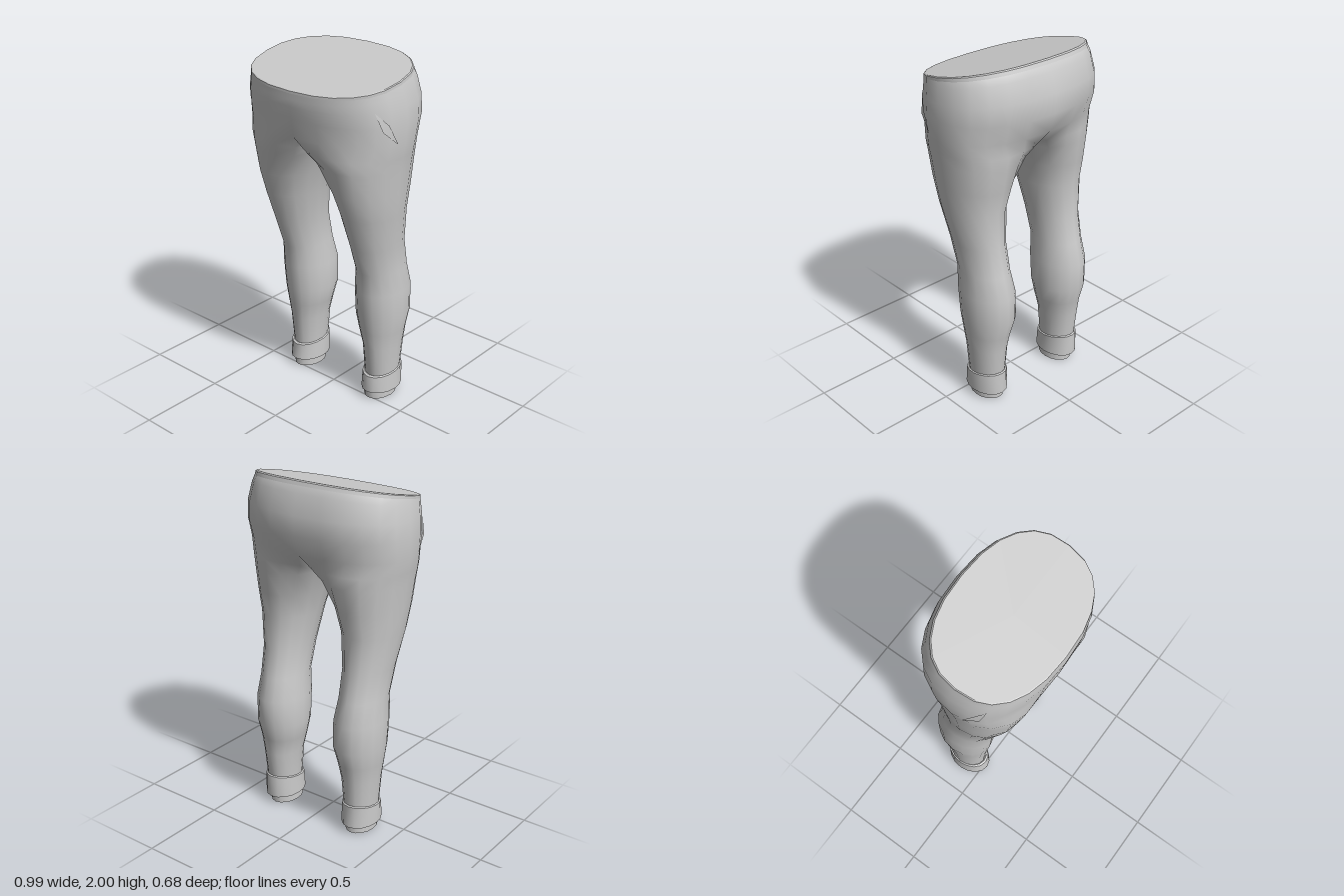
import * as THREE from 'three';
import { mergeVertices, toCreasedNormals } from 'three/addons/utils/BufferGeometryUtils.js';

const SIDES = 16;
const lerp = THREE.MathUtils.lerp;
const power = (v, e) => Math.sign(v) * Math.abs(v) ** e;

// One cross-section of the left half.
// yf/yb: height at front and back, xi/xo: inner and outer x, zf/zb: front and back z,
// m: 0 = half of the hips (flat inner side), 1 = free oval leg
function section([yf, yb, xi, xo, zf, zb, m]) {
  const zc = (zf + zb) / 2, rz = (zf - zb) / 2;
  const cx = (xi + xo) / 2, rx = (xo - xi) / 2;
  return Array.from({ length: SIDES }, (_, i) => {
    let hx = xi, hz;
    if (i <= 12) {
      const a = (i / 12) * Math.PI;
      hx = xi + (xo - xi) * power(Math.sin(a), 0.83);
      hz = zc + rz * power(Math.cos(a), 0.83);
    } else hz = lerp(zb, zf, (i - 12) / 4);
    const b = -Math.PI / 4 + (i / SIDES) * Math.PI * 2;
    const x = lerp(hx, cx + rx * Math.sin(b), m);
    const z = lerp(hz, zc + rz * Math.cos(b), m);
    const y = rz > 0 ? lerp(yf, yb, (zf - z) / (2 * rz)) : yf;
    return new THREE.Vector3(Math.abs(x) < 1e-4 ? 0 : x, y, z);
  });
}

// Skin through sections listed from top to bottom; faces on the middle plane are left out
function loft(rows, mirrored = false) {
  const rings = rows.map(section), pos = [];
  const tri = (a, b, c) => {
    if (a.x === 0 && b.x === 0 && c.x === 0) return;
    if (new THREE.Triangle(a, b, c).getArea() < 1e-9) return;
    pos.push(...a, ...b, ...c);
    if (mirrored) for (const p of [a, c, b]) pos.push(-p.x, p.y, p.z);
  };
  for (let r = 0; r + 1 < rings.length; r++) {
    for (let i = 0; i < SIDES; i++) {
      const j = (i + 1) % SIDES, a = rings[r], b = rings[r + 1];
      tri(a[i], b[i], b[j]);
      tri(a[i], b[j], a[j]);
    }
  }
  const geo = new THREE.BufferGeometry();
  geo.setAttribute('position', new THREE.Float32BufferAttribute(pos, 3));
  const merged = mergeVertices(geo);
  merged.computeVertexNormals();
  return merged;
}

export function createModel() {
  const model = new THREE.Group();
  const material = new THREE.MeshStandardMaterial({ color: 0xcccccc });
  const thin = new THREE.MeshStandardMaterial({ color: 0xcccccc, side: THREE.DoubleSide });
  const add = (name, geo, mat = material) => {
    const mesh = new THREE.Mesh(geo, mat);
    mesh.name = name;
    model.add(mesh);
  };

  // Hips and both legs in one smooth skin
  add('trousers', loft([
    [1.85, 1.975, 0, 0.464, 0.34, -0.292, 0],
    [1.82, 1.94, 0, 0.472, 0.34, -0.312, 0],
    [1.78, 1.83, 0, 0.487, 0.34, -0.34, 0],
    [1.71, 1.72, 0, 0.493, 0.33, -0.337, 0],
    [1.61, 1.61, 0, 0.49, 0.315, -0.3, 0],
    [1.53, 1.53, 0, 0.478, 0.31, -0.285, 0.5],
    [1.46, 1.46, 0.035, 0.467, 0.287, -0.268, 0.75],
    [1.32, 1.32, 0.078, 0.453, 0.248, -0.238, 1],
    [1.18, 1.18, 0.117, 0.437, 0.2, -0.21, 1],
    [0.98, 0.98, 0.148, 0.405, 0.135, -0.22, 1],
    [0.82, 0.82, 0.15, 0.4, 0.08, -0.25, 1],
    [0.69, 0.69, 0.133, 0.413, 0.073, -0.285, 1],
    [0.53, 0.53, 0.13, 0.412, 0.057, -0.283, 1],
    [0.43, 0.43, 0.152, 0.397, 0.04, -0.255, 1],
    [0.33, 0.33, 0.177, 0.383, 0.023, -0.24, 1],
    [0.12, 0.12, 0.19, 0.368, 0.003, -0.218, 1],
  ], true));

  // Waistband edge and the flat top that closes it
  add('waistband', toCreasedNormals(loft([
    [1.865, 2.0, 0, 0.458, 0.333, -0.275, 0],
    [1.862, 1.995, 0, 0.463, 0.339, -0.284, 0],
    [1.85, 1.975, 0, 0.464, 0.34, -0.292, 0],
  ], true), 0.6));
  add('waistTop', loft([
    [1.9325, 1.9325, 0, 0, 0.029, 0.029, 0],
    [1.865, 2.0, 0, 0.458, 0.333, -0.275, 0],
  ], true));

  // Rolled cuffs: rim, outer wall and underside
  add('cuffs', toCreasedNormals(loft([
    [0.145, 0.175, 0.2, 0.358, -0.007, -0.208, 1],
    [0.153, 0.187, 0.187, 0.371, 0.012, -0.228, 1],
    [0.147, 0.183, 0.18, 0.378, 0.024, -0.237, 1],
    [0.05, 0.05, 0.178, 0.38, 0.032, -0.238, 1],
    [0.05, 0.05, 0.21, 0.34, 0.0, -0.19, 1],
  ], true), 0.7));

  // Ankle stumps below the cuffs, closed underneath
  add('ankles', toCreasedNormals(loft([
    [0.09, 0.09, 0.195, 0.355, 0.012, -0.207, 1],
    [0, 0, 0.195, 0.355, 0.012, -0.207, 1],
    [0, 0, 0.275, 0.275, -0.0975, -0.0975, 1],
  ], true), 0.7));

  // Slanted pocket slits on the hips
  for (const s of [1, -1]) {
    const points = [[0.434, 1.8, 0.19], [0.466, 1.7, 0.162], [0.492, 1.62, 0.07], [0.478, 1.73, 0.127]]
      .map(([x, y, z]) => [s * x, y, z]);
    const geo = new THREE.BufferGeometry();
    geo.setAttribute('position', new THREE.Float32BufferAttribute(points.flat(), 3));
    geo.setIndex(s > 0 ? [0, 1, 3, 1, 2, 3] : [0, 3, 1, 1, 3, 2]);
    geo.computeVertexNormals();
    add(s > 0 ? 'leftPocket' : 'rightPocket', geo, thin);
  }
  return model;
}
